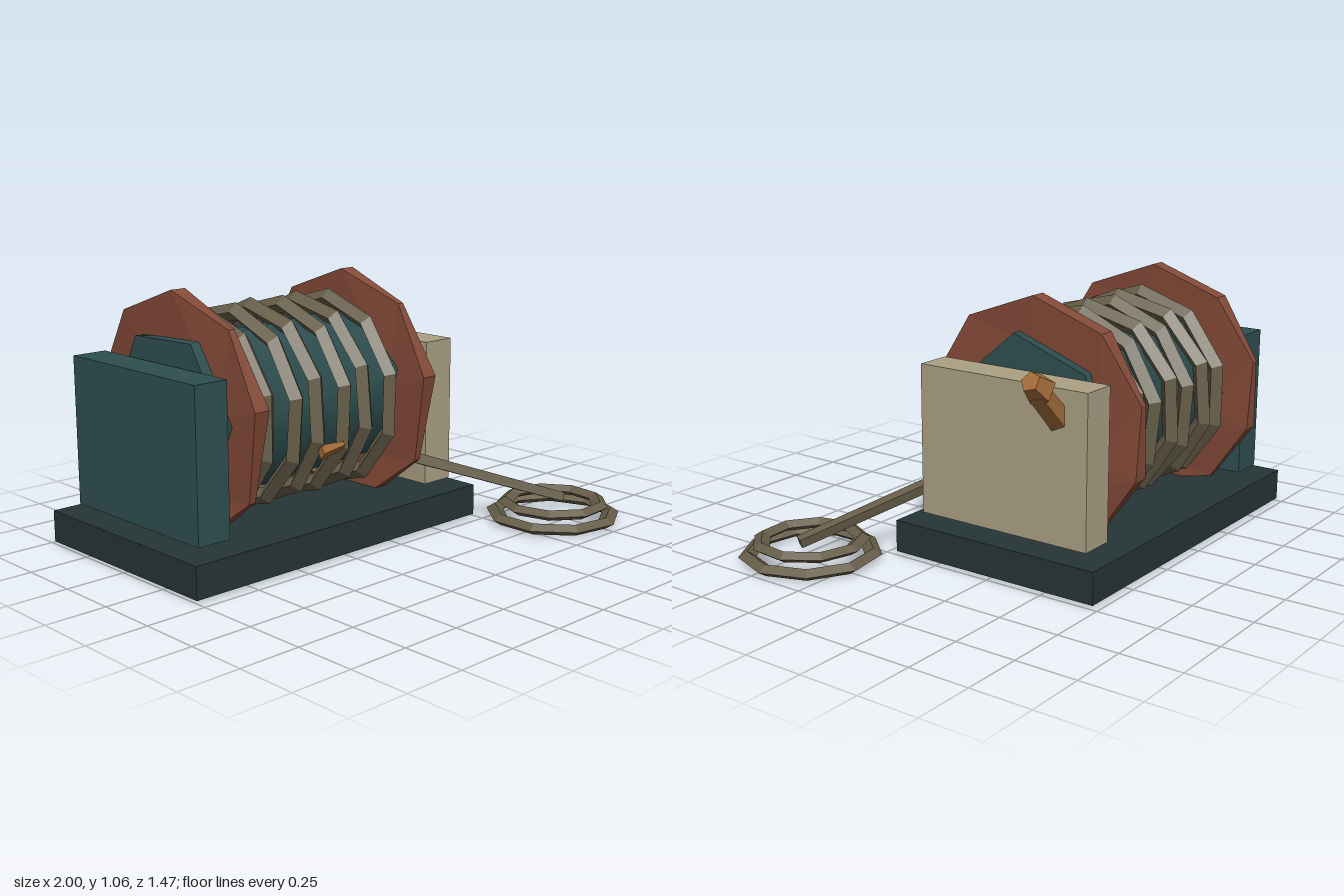
import * as THREE from 'three';
import { toCreasedNormals } from 'three/addons/utils/BufferGeometryUtils.js';

const mat = (name, color) => Object.assign(new THREE.MeshStandardMaterial({ color }), { name });
const DEG = Math.PI / 180;
const CY = 0.57, CZ = -0.26; // drum axis

// Give every face its own normal
function facet(geo) {
  const g = geo.index ? geo.toNonIndexed() : geo;
  g.computeVertexNormals();
  return g;
}

// Straight bar between two points
function bar(a, b, r0, r1, sides) {
  const from = new THREE.Vector3(...a), to = new THREE.Vector3(...b);
  const dir = to.clone().sub(from);
  const geo = new THREE.CylinderGeometry(r1, r0, dir.length(), sides);
  geo.applyQuaternion(new THREE.Quaternion().setFromUnitVectors(new THREE.Vector3(0, 1, 0), dir.normalize()));
  const mid = from.add(to).multiplyScalar(0.5);
  geo.translate(mid.x, mid.y, mid.z);
  return facet(geo);
}

// Six-sided drum with a slight twist along its length
function drumGeometry() {
  const length = 1.025;
  const geo = new THREE.CylinderGeometry(0.35, 0.35, length, 6, 8);
  geo.rotateZ(-Math.PI / 2);
  const p = geo.attributes.position, v = new THREE.Vector3(), axis = new THREE.Vector3(1, 0, 0);
  for (let i = 0; i < p.count; i++) {
    v.fromBufferAttribute(p, i);
    const t = v.x / length + 0.5;
    v.applyAxisAngle(axis, (-2 - 18 * t) * DEG);
    p.setXYZ(i, v.x, v.y, v.z);
  }
  return toCreasedNormals(geo, 75 * DEG);
}

// Uneven nine-sided flange whose rim alternates wide and narrow
function flangeGeometry() {
  const angles = [0, 40, 78.5, 122, 165, 217, 252, 285.5, 321];
  const sections = angles.map((deg, i) => {
    const h = i % 2 ? 0.014 : 0.034, c = Math.cos(deg * DEG), s = Math.sin(deg * DEG);
    return [[0.495, h], [0.495, -h], [0.3, -0.03], [0.3, 0.03]].map(([r, x]) => [x, r * c, r * s]);
  });
  const pos = [];
  sections.forEach((a, i) => {
    const b = sections[(i + 1) % sections.length];
    for (let k = 0; k < 4; k++) {
      const n = (k + 1) % 4;
      pos.push(...a[k], ...a[n], ...b[n], ...a[k], ...b[n], ...b[k]);
    }
  });
  const geo = new THREE.BufferGeometry();
  geo.setAttribute('position', new THREE.Float32BufferAttribute(pos, 3));
  return facet(geo);
}

export function createModel() {
  const group = new THREE.Group();
  const baseMat = mat('dark slate', 0x263536);
  const teal = mat('teal', 0x2f4f50);
  const cream = mat('cream', 0xaca185);
  const rust = mat('rust red', 0x844a38);
  const ropeMat = mat('rope brown', 0x675e49);
  const amber = mat('amber', 0xa56c39);

  const add = (name, geo, material, x = 0, y = 0, z = 0) => {
    const mesh = new THREE.Mesh(geo, material);
    mesh.name = name;
    mesh.position.set(x, y, z);
    group.add(mesh);
    return mesh;
  };

  // Base and end blocks
  add('base', new THREE.BoxGeometry(1.49, 0.13, 0.93), baseMat, -0.255, 0.08, CZ);
  const block = new THREE.BoxGeometry(0.147, 0.605, 0.77);
  add('rightEndBlock', block, teal, -0.852, 0.478, CZ);
  add('leftEndBlock', block, cream, 0.344, 0.478, CZ);

  // Drum and flanges
  add('drum', drumGeometry(), teal, -0.2575, CY, CZ);
  const flange = flangeGeometry();
  add('rightFlange', flange, rust, -0.698, CY - 0.005, CZ);
  add('leftFlange', flange, rust, 0.185, CY - 0.005, CZ);

  // Rope turns around the drum, each set at a slightly different angle
  for (let i = 0; i < 6; i++) {
    const geo = new THREE.TorusGeometry(0.386, 0.036, 4, 10);
    geo.rotateZ((18 + [0, 5, -4, 3, -6, 2][i]) * DEG);
    geo.rotateY(Math.PI / 2 + (i % 2 ? 1 : -1) * 0.02);
    add('ropeTurn' + (i + 1), facet(geo), ropeMat, -0.573 + i * 0.1276, CY - 0.005, CZ);
  }

  // Loose rope end running down to the coil
  add('looseRope', bar([0.19, 0.31, 0.085], [0.78, 0.085, 0.455], 0.03, 0.027, 4), ropeMat);

  // Rope coil lying beside the base
  [[0.25, 0.036, 0.027, 0], [0.203, 0.034, 0.076, 14]].forEach(([r, tube, y, turn], i) => {
    const geo = new THREE.TorusGeometry(r, tube, 4, 9);
    geo.rotateX(Math.PI / 2);
    geo.rotateY(turn * DEG);
    geo.scale(1, 0.65, 1);
    add('coilTurn' + (i + 1), facet(geo), ropeMat, 0.717, y, 0.455);
  });

  // Crank handle with a faceted grip
  add('crankArm', bar([0.37, 0.635, -0.505], [0.53, 0.79, -0.505], 0.05, 0.045, 5), amber);
  add('crankGrip', bar([0.51, 0.79, -0.505], [0.575, 0.835, -0.505], 0.062, 0.04, 5), amber);

  // Small wedge tucked under a rope turn
  const wedge = bar([-0.33, 0.425, 0.14], [-0.21, 0.437, 0.14], 0.032, 0.014, 4);
  wedge.scale(1, 1, 0.6);
  add('ropeWedge', wedge, amber, 0, 0, 0.052);

  return group;
}
